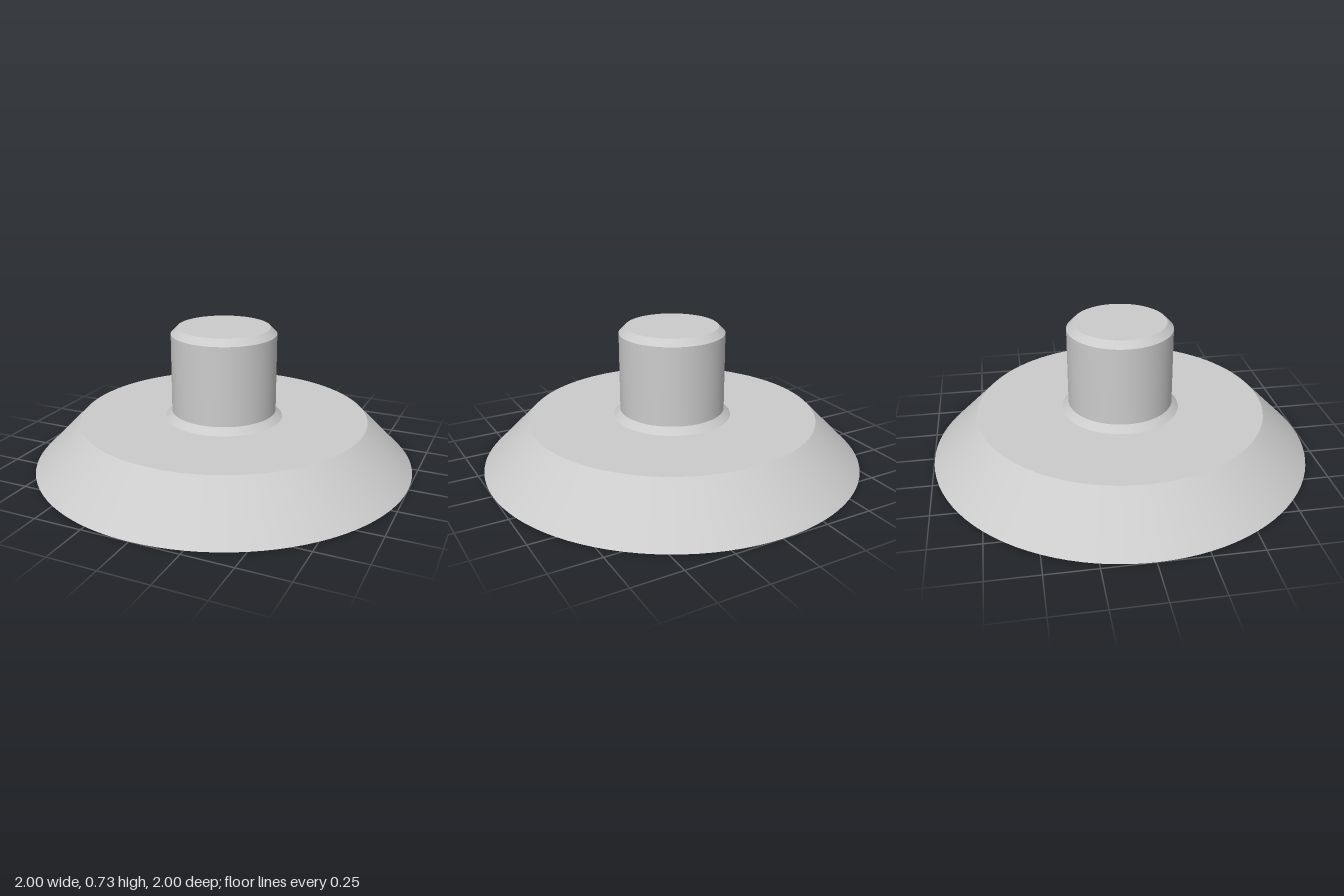
import * as THREE from 'three';
import { toCreasedNormals } from 'three/addons/utils/BufferGeometryUtils.js';

const material = new THREE.MeshStandardMaterial({ color: 0xcccccc });

// Turns a [radius, height] profile, listed from bottom to top, keeping its edges sharp
function turnedPart(name, profile) {
  const points = profile.map(([r, y]) => new THREE.Vector2(r, y));
  const geometry = toCreasedNormals(new THREE.LatheGeometry(points, 96), 0.5);
  const mesh = new THREE.Mesh(geometry, material);
  mesh.name = name;
  return mesh;
}

export function createModel() {
  const group = new THREE.Group();
  group.name = 'flangedStud';

  const flangeTop = 0.243;
  const collarRadius = 0.31;
  const studRadius = 0.275;

  // Conical base with flat underside; its top stops at the collar
  group.add(turnedPart('flange', [
    [0, 0], [1, 0], [0.757, flangeTop], [collarRadius, flangeTop],
  ]));

  // Sloped collar where the stud meets the flange
  group.add(turnedPart('collar', [
    [collarRadius, flangeTop], [studRadius, 0.278],
  ]));

  // Upright stud with chamfered top
  group.add(turnedPart('stud', [
    [studRadius, 0.278], [studRadius, 0.692], [0.241, 0.726], [0, 0.726],
  ]));

  return group;
}
